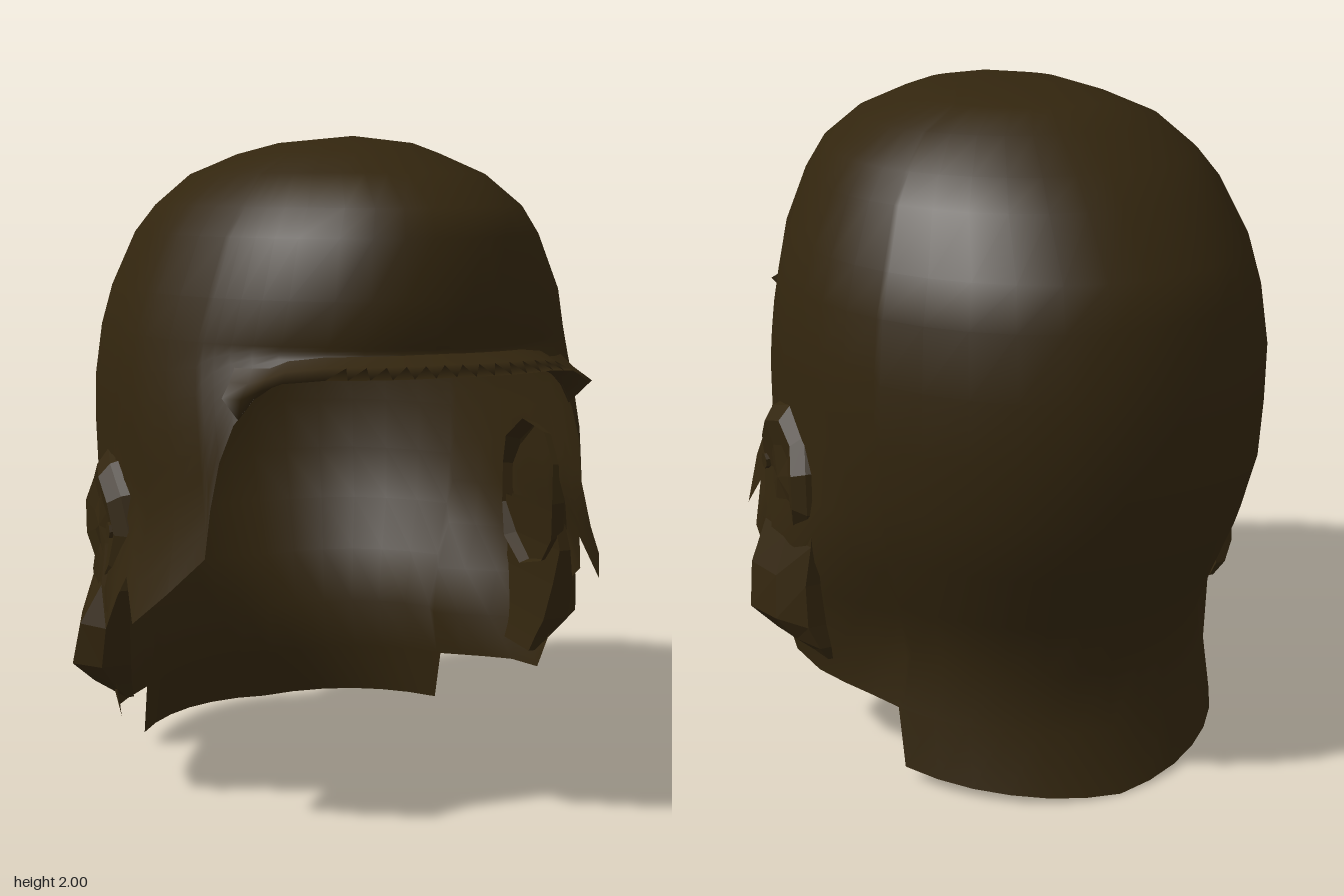
import * as THREE from 'three';
import { mergeVertices } from 'three/addons/utils/BufferGeometryUtils.js';

const leather = new THREE.MeshStandardMaterial({ color: 0x32250e, side: THREE.DoubleSide });
leather.name = 'dark brown leather';

// Horizontal sections of the cap: [y, half width, front z, back z, centre z, pinch behind the ears]
const SECTIONS = [
  [2.0, 0, 0.16, 0.16, 0.16, 0], [1.98, 0.2, 0.3, -0.12, 0.1, 0], [1.95, 0.29, 0.42, -0.37, 0.02, 0],
  [1.89, 0.43, 0.58, -0.47, -0.02, 0], [1.8, 0.53, 0.73, -0.6, -0.04, 0], [1.72, 0.59, 0.76, -0.68, -0.05, 0],
  [1.56, 0.66, 0.8, -0.815, -0.05, 0], [1.42, 0.7, 0.775, -0.86, -0.05, 0], [1.3, 0.715, 0.83, -0.89, -0.05, 0],
  [1.15, 0.72, 0.91, -0.885, -0.05, 0], [0.93, 0.715, 0.97, -0.87, -0.05, 0], [0.65, 0.79, 1.2, -0.77, -0.05, 0.16],
  [0.43, 0.75, 1.2, -0.66, -0.05, 0.25], [0.22, 0.7, 1.1, -0.66, -0.05, 0.13], [0, 0.64, 1.0, -0.74, -0.05, 0.03],
];

// Lower rim from the brow round to the nape: [angle in degrees, y]
const RIM = [
  [0, 1.37], [24, 1.365], [34, 1.35], [40, 1.3], [45, 1.23], [49, 1.13], [52, 1.0], [53.5, 0.87], [70, 0.65],
  [74, 0.76], [78, 0.64], [81, 0.59], [85, 0.27], [119, 0.22], [120.5, 0.045], [150, 0.025], [180, 0],
];

function lookUp(table, t, descending) {
  const key = descending ? -1 : 1;
  let i = 0;
  while (i < table.length - 2 && key * t > key * table[i + 1][0]) i++;
  const [a, b] = [table[i], table[i + 1]];
  const f = THREE.MathUtils.clamp((t - a[0]) / (b[0] - a[0]), 0, 1);
  return a.map((v, k) => v + (b[k] - v) * f);
}

// Point on the cap, with the angle measured from the front towards +x
function capPoint(deg, y, out = 0) {
  const [, w, front, back, mid, pinch] = lookUp(SECTIONS, y, true);
  const a = THREE.MathUtils.degToRad(deg);
  const c = Math.cos(a), s = Math.sin(a);
  const narrow = 1 - pinch * THREE.MathUtils.smoothstep(Math.abs(deg), 82, 120);
  return [(w + out) * s * narrow, y, mid + c * (c > 0 ? front - mid + out : mid - back + out)];
}

const rimY = deg => lookUp(RIM, Math.abs(deg), false)[1];

// Surface through columns of points, each running downwards
function skin(columns, closed = false) {
  const rows = columns[0].length, index = [];
  const n = closed ? columns.length : columns.length - 1;
  for (let i = 0; i < n; i++) {
    const k = (i + 1) % columns.length;
    for (let j = 0; j < rows - 1; j++) {
      const a = i * rows + j, b = k * rows + j;
      index.push(a, a + 1, b, b, a + 1, b + 1);
    }
  }
  const g = new THREE.BufferGeometry();
  g.setAttribute('position', new THREE.Float32BufferAttribute(columns.flat(2), 3));
  g.setIndex(index);
  const merged = mergeVertices(g, 1e-4);
  merged.computeVertexNormals();
  return merged;
}

function faceted(g) {
  const f = g.toNonIndexed();
  f.computeVertexNormals();
  return f;
}

function add(parent, name, geometry) {
  const m = new THREE.Mesh(geometry, leather);
  m.name = name;
  parent.add(m);
}

function capGeometry() {
  const half = [];
  for (let i = 0; i < RIM.length - 1; i++) {
    const [a, b] = [RIM[i][0], RIM[i + 1][0]];
    const steps = Math.ceil((b - a) / 11);
    for (let k = 0; k < steps; k++) half.push(a + ((b - a) * k) / steps);
  }
  half.push(180);
  const angles = [...half.slice(1).reverse().map(a => -a), ...half];
  const upper = [2, 1.98, 1.95, 1.89, 1.8, 1.72, 1.56, 1.44];
  return skin(angles.map(a => {
    const col = upper.map(y => capPoint(a, y));
    for (let k = 1; k <= 8; k++) col.push(capPoint(a, 1.44 + (rimY(a) - 1.44) * k / 8));
    return col;
  }));
}

// Short peak over the brow, ending in a corner at each temple
function brimGeometry() {
  const cols = [];
  for (let a = -44; a <= 44; a += 4) {
    const y = rimY(a), reach = 0.08 + 0.027 * Math.cos(THREE.MathUtils.degToRad(a * 2.2));
    const tip = capPoint(a, Math.max(y, 1.31), reach);
    tip[1] = Math.max(y + 0.003, 1.31);
    const top = Math.max(y + 0.05, 1.38);
    cols.push([capPoint(a, top), capPoint(a, (top + tip[1]) / 2, reach * 0.4), tip, capPoint(a, y, -0.005)]);
  }
  return skin(cols);
}

// Hanging ear pocket: levels of [y, rear z, front z, inner x, outer x]
function pocketGeometry() {
  const levels = [
    [0.82, -0.17, 0.17, 0.69, 0.75], [0.7, -0.17, 0.2, 0.7, 0.77], [0.58, -0.17, 0.16, 0.7, 0.83],
    [0.45, -0.18, 0.12, 0.69, 0.85], [0.38, -0.19, 0.08, 0.68, 0.78], [0.33, -0.17, 0.06, 0.67, 0.71],
  ];
  const corners = [[1, 0], [1, 0.55], [0.75, 1], [0.35, 0.75], [0, 0.35], [0, 0]];
  const cols = corners.map(([f, o]) => levels.map(([y, z0, z1, x0, x1]) =>
    [x0 + (x1 - x0) * o, y, z0 + (z1 - z0) * f]));
  return faceted(skin(cols, true));
}

// Crumpled padded ear cup
function cupGeometry() {
  const profile = [[0.215, -0.03], [0.2, 0.02], [0.16, 0.055], [0.09, 0.045], [0, 0.055]]
    .map(([r, h]) => new THREE.Vector2(r, h));
  const cup = new THREE.LatheGeometry(profile, 11);
  const p = cup.attributes.position;
  for (let i = 0; i < p.count; i++) {
    const a = Math.atan2(p.getZ(i), p.getX(i));
    const r = Math.hypot(p.getX(i), p.getZ(i));
    p.setY(i, p.getY(i) + 0.07 * r * Math.sin(3 * a));
    p.setX(i, p.getX(i) * (1 + 0.05 * Math.cos(4 * a)));
  }
  cup.rotateZ(-Math.PI / 2).scale(1, 1.1, 0.95).translate(0.7, 0.86, 0.02);
  return faceted(cup);
}

export function createModel() {
  const group = new THREE.Group();
  group.name = 'leatherFlyingCap';
  add(group, 'capShell', capGeometry());
  add(group, 'brim', brimGeometry());

  for (const side of [1, -1]) {
    const ear = new THREE.Group();
    ear.name = side > 0 ? 'leftEar' : 'rightEar';
    ear.scale.x = side;
    add(ear, 'earCup', cupGeometry());
    const button = new THREE.CylinderGeometry(0.024, 0.028, 0.04, 7);
    button.rotateZ(-Math.PI / 2).translate(0.735, 0.87, 0.145);
    add(ear, 'earButton', faceted(button));
    add(ear, 'earPocket', pocketGeometry());
    group.add(ear);
  }
  return group;
}
